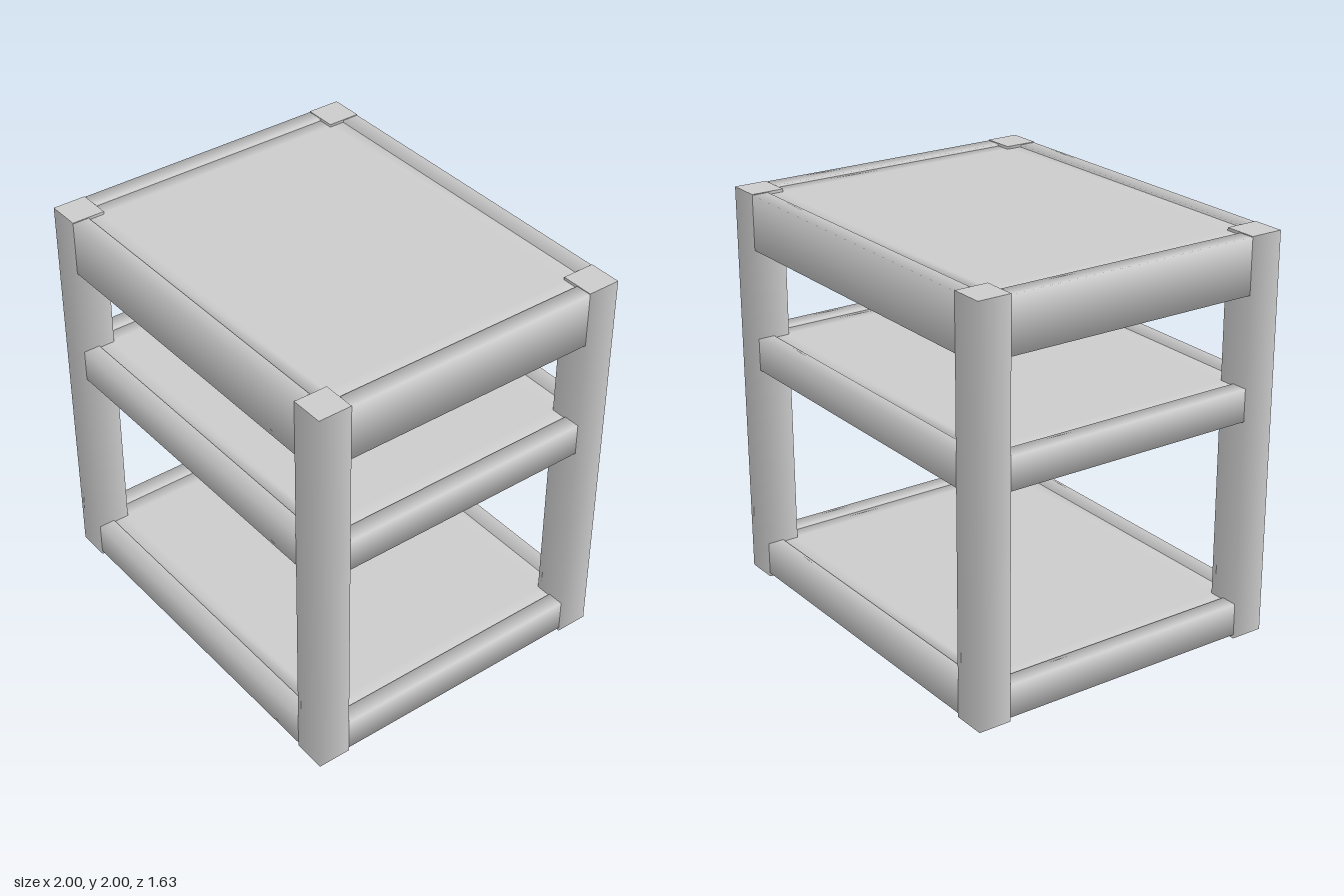
import * as THREE from 'three';
import { mergeVertices } from 'three/addons/utils/BufferGeometryUtils.js';

const LEG = 0.165, RAIL = 0.083, PANEL = 0.06, HALF_X = 1, HALF_Z = 0.815;

// Square bar along y whose shading is smooth around its four sides
function barGeometry(w, h, d) {
  const g = new THREE.CylinderGeometry(Math.SQRT1_2, Math.SQRT1_2, 1, 4, 1);
  g.rotateY(Math.PI / 4);
  g.attributes.position.applyMatrix4(new THREE.Matrix4().makeScale(w, h, d));
  return g;
}

// Flat panel with softly shaded borders
function panelGeometry(w, h, d, border = 0.07) {
  const g = new THREE.BoxGeometry(w, h, d, 3, 1, 3);
  const p = g.attributes.position;
  for (let i = 0; i < p.count; i++) {
    const x = p.getX(i), z = p.getZ(i);
    if (Math.abs(x) < w * 0.4) p.setX(i, Math.sign(x) * (w / 2 - border));
    if (Math.abs(z) < d * 0.4) p.setZ(i, Math.sign(z) * (d / 2 - border));
  }
  g.deleteAttribute('normal');
  g.deleteAttribute('uv');
  const merged = mergeVertices(g);
  merged.computeVertexNormals();
  return merged;
}

export function createModel() {
  const model = new THREE.Group();
  const grey = new THREE.MeshStandardMaterial({ color: 0xcccccc });
  grey.name = 'grey';

  const add = (name, geometry, x, y, z) => {
    const mesh = new THREE.Mesh(geometry, grey);
    mesh.name = name;
    mesh.position.set(x, y, z);
    model.add(mesh);
  };

  // Legs with round foot pads
  const legGeo = barGeometry(LEG, 1.99, LEG);
  const padGeo = new THREE.CylinderGeometry(0.055, 0.055, 0.02, 24);
  for (const sx of [-1, 1]) {
    for (const sz of [-1, 1]) {
      const name = (sz > 0 ? 'front' : 'back') + (sx > 0 ? 'Left' : 'Right');
      const x = sx * (HALF_X - LEG / 2), z = sz * (HALF_Z - LEG / 2);
      add(name + 'Leg', legGeo, x, 1.005, z);
      add(name + 'FootPad', padGeo, x, 0.01, z);
    }
  }

  // Three levels, each with four rails around a thin panel set near their top
  const levels = [
    { name: 'bottom', low: 0.03, high: 0.192 },
    { name: 'middle', low: 1.122, high: 1.282 },
    { name: 'top', low: 1.727, high: 1.996 },
  ];
  const lenX = 2 * (HALF_X - LEG), lenZ = 2 * (HALF_Z - LEG);
  const panelGeo = panelGeometry(2 * (HALF_X - RAIL) - 0.006, PANEL, 2 * (HALF_Z - RAIL) - 0.006);
  for (const { name, low, high } of levels) {
    const h = high - low, y = (low + high) / 2;
    const railX = barGeometry(h, lenX, RAIL).rotateZ(Math.PI / 2);
    const railZ = barGeometry(RAIL, lenZ, h).rotateX(Math.PI / 2);
    for (const s of [-1, 1]) {
      add(name + (s > 0 ? 'Front' : 'Back') + 'Rail', railX, 0, y, s * (HALF_Z - RAIL / 2));
      add(name + (s > 0 ? 'Left' : 'Right') + 'Rail', railZ, s * (HALF_X - RAIL / 2), y, 0);
    }
    add(name + 'Panel', panelGeo, 0, high - 0.01 - PANEL / 2, 0);
  }
  return model;
}
